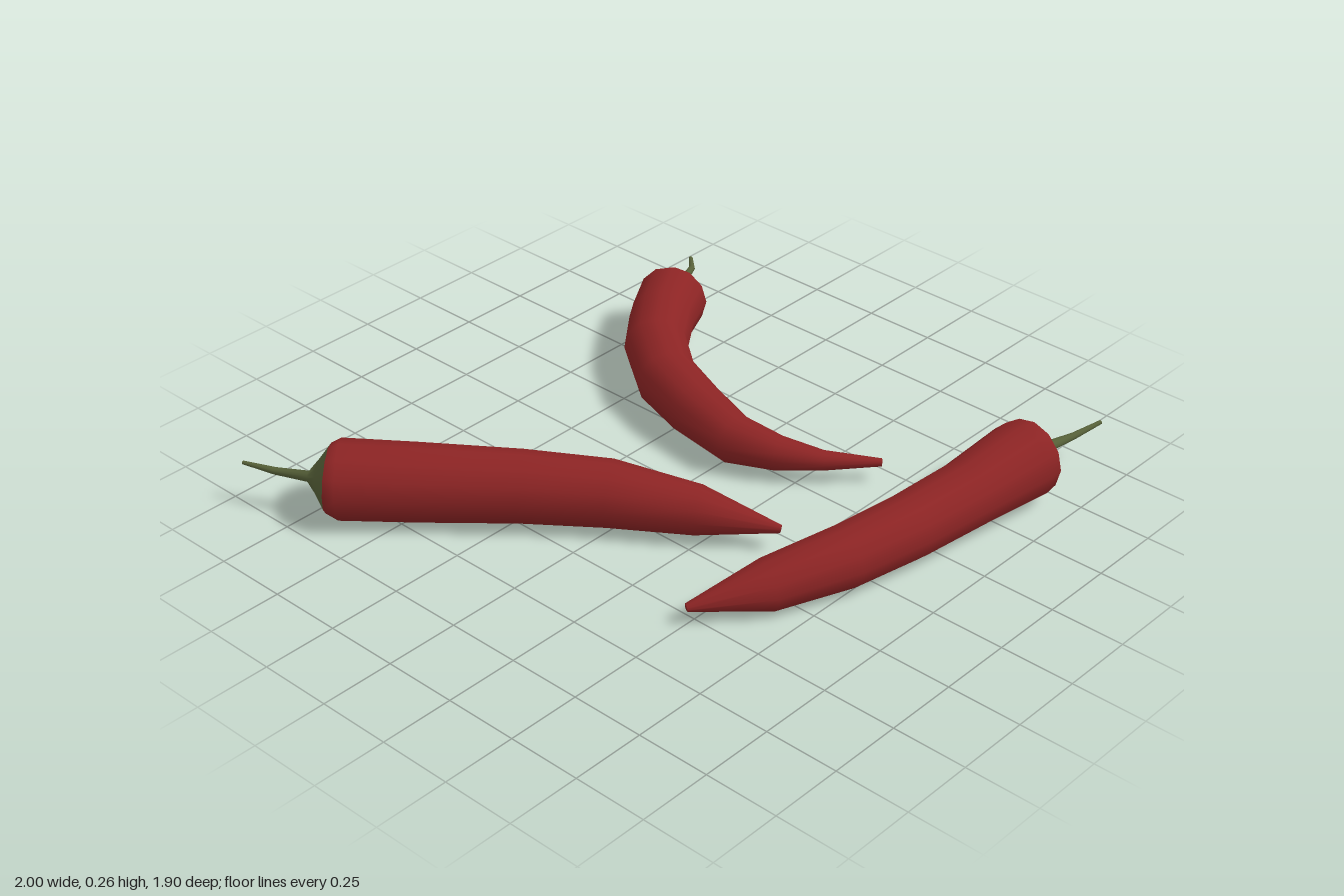
import * as THREE from 'three';

const SIDES = 12;
const V = (a) => new THREE.Vector3(a[0], a[1], a[2]);

// Smooth round skin through rings [x, y, z, radius], closed at the far end
function sweep(rings, startTangent) {
  const pts = rings.map(V);
  const pos = [], idx = [];
  const n = rings.length;
  const up0 = new THREE.Vector3(0, 1, 0);
  rings.forEach((ring, i) => {
    const t = i === 0 && startTangent
      ? startTangent.clone()
      : pts[Math.min(i + 1, n - 1)].clone().sub(pts[Math.max(i - 1, 0)]).normalize();
    const side = up0.clone().cross(t).normalize();
    const up = t.clone().cross(side);
    for (let j = 0; j < SIDES; j++) {
      const a = (j / SIDES) * Math.PI * 2;
      const p = pts[i].clone()
        .addScaledVector(side, Math.cos(a) * ring[3])
        .addScaledVector(up, Math.sin(a) * ring[3]);
      pos.push(p.x, p.y, p.z);
    }
  });
  for (let i = 0; i < n - 1; i++) {
    for (let j = 0; j < SIDES; j++) {
      const k = (j + 1) % SIDES;
      const a = i * SIDES + j, b = i * SIDES + k;
      idx.push(a, b, a + SIDES, b, b + SIDES, a + SIDES);
    }
  }
  const end = n * SIDES;
  pos.push(...pts[n - 1].toArray());
  for (let j = 0; j < SIDES; j++) {
    idx.push(end - SIDES + j, end - SIDES + ((j + 1) % SIDES), end);
  }
  const g = new THREE.BufferGeometry();
  g.setAttribute('position', new THREE.Float32BufferAttribute(pos, 3));
  g.setIndex(idx);
  g.computeVertexNormals();
  return g;
}

// Body rings run from the stem end to the tip; stem rings run outwards
const PEPPERS = [
  {
    name: 'backLeftPepper',
    body: [
      [-0.862, 0.145, -0.70, 0.11], [-0.84, 0.143, -0.672, 0.129],
      [-0.68, 0.137, -0.485, 0.125], [-0.475, 0.13, -0.245, 0.116],
      [-0.31, 0.122, -0.025, 0.108], [-0.175, 0.105, 0.22, 0.08],
      [-0.06, 0.085, 0.455, 0.013],
    ],
    stem: [[-0.952, 0.15, -0.848, 0.012], [-0.996, 0.158, -0.948, 0.006]],
  },
  {
    name: 'frontPepper',
    body: [
      [0.716, 0.143, 0.822, 0.122], [0.665, 0.143, 0.817, 0.131],
      [0.43, 0.125, 0.79, 0.112], [0.18, 0.117, 0.76, 0.106],
      [-0.065, 0.109, 0.712, 0.1], [-0.315, 0.093, 0.62, 0.083],
      [-0.535, 0.07, 0.5, 0.013],
    ],
    stem: [[0.88, 0.152, 0.862, 0.012], [0.998, 0.16, 0.885, 0.007]],
  },
  {
    name: 'backRightPepper',
    body: [
      [0.732, 0.13, -0.712, 0.102], [0.705, 0.13, -0.698, 0.12],
      [0.575, 0.125, -0.63, 0.112], [0.433, 0.122, -0.522, 0.108],
      [0.307, 0.118, -0.355, 0.104], [0.243, 0.113, -0.17, 0.097],
      [0.2, 0.105, 0.035, 0.082], [0.245, 0.095, 0.185, 0.057],
      [0.32, 0.085, 0.305, 0.033], [0.445, 0.078, 0.443, 0.013],
    ],
    stem: [[0.9, 0.132, -0.787, 0.011], [0.955, 0.13, -0.842, 0.007]],
  },
];

export function createModel() {
  const red = new THREE.MeshStandardMaterial({ color: 0x8c2424 });
  red.name = 'pepper red';
  const green = new THREE.MeshStandardMaterial({ color: 0x566038 });
  green.name = 'stem green';

  const model = new THREE.Group();
  model.name = 'chilliPeppers';

  for (const { name, body, stem } of PEPPERS) {
    const pepper = new THREE.Group();
    pepper.name = name;

    const flesh = new THREE.Mesh(sweep(body), red);
    flesh.name = 'pepperBody';

    // Cap cone closes the thick end and narrows into the stem
    const base = V(body[0]);
    const out = base.clone().sub(V(body[1])).normalize();
    const r = body[0][3];
    const capRing = (d, k) => [...base.clone().addScaledVector(out, d).toArray(), r * k];
    const cap = new THREE.Mesh(
      sweep([capRing(0, 1), capRing(0.035, 0.5), capRing(0.062, 0.16), ...stem], out), green);
    cap.name = 'capAndStem';

    pepper.add(flesh, cap);
    model.add(pepper);
  }
  return model;
}
